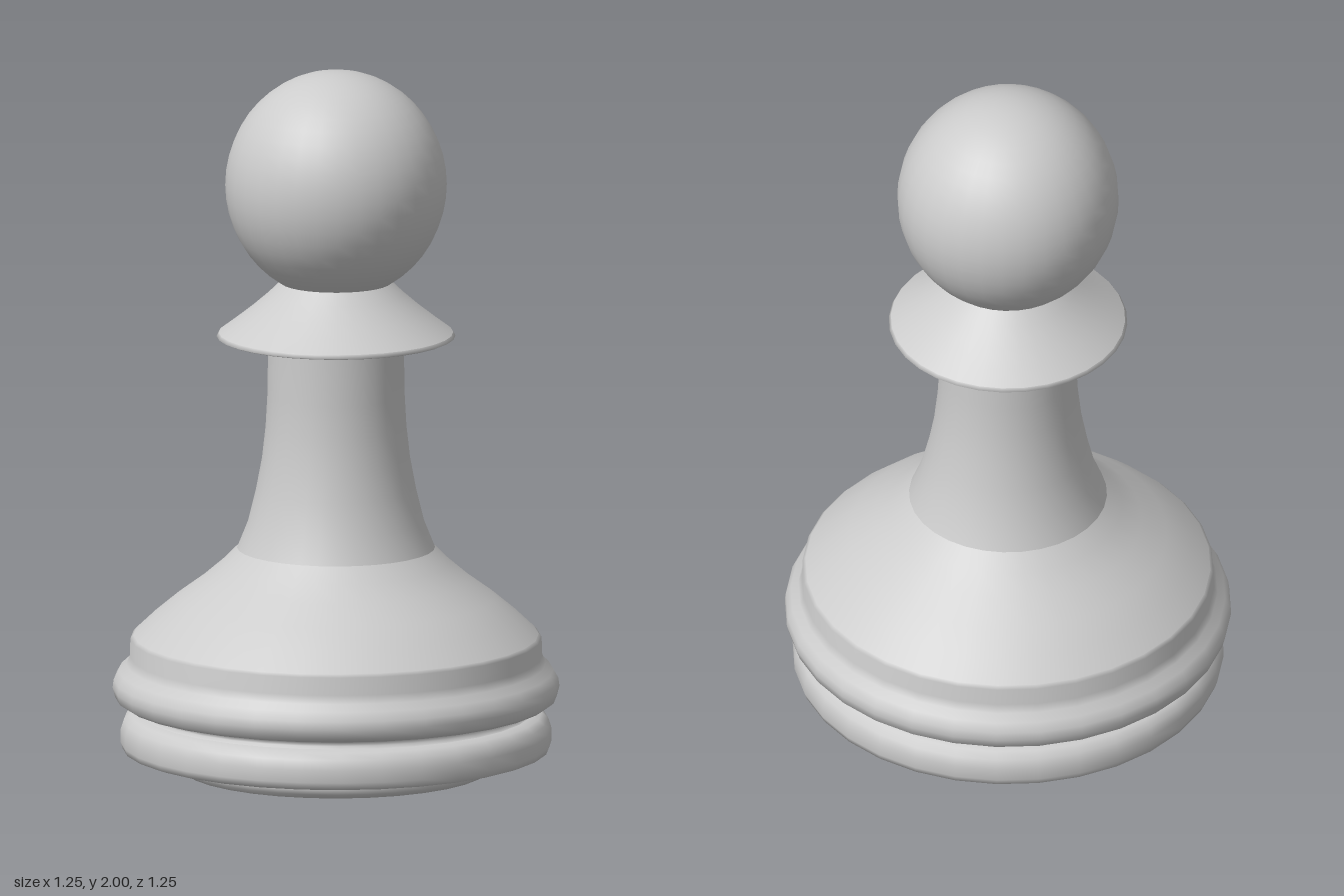
import * as THREE from 'three';

const SIDES = 32;

export function createModel() {
  const model = new THREE.Group();
  const material = new THREE.MeshStandardMaterial({ color: 0xcccccc, side: THREE.DoubleSide });

  // Smooth turned section from [radius, height] pairs, listed bottom to top
  const turned = (name, profile) => {
    const points = profile.map(([r, y]) => new THREE.Vector2(r, y));
    const mesh = new THREE.Mesh(new THREE.LatheGeometry(points, SIDES), material);
    mesh.name = name;
    model.add(mesh);
  };

  // Foot: flat underside, small rounded edge, upright wall
  turned('footUnderside', [[0, 0], [0.385, 0.005]]);
  turned('foot', [[0.385, 0.005], [0.43, 0.012], [0.447, 0.025], [0.45, 0.04], [0.45, 0.068]]);

  // Lower base ring
  turned('lowerRingUnderside', [[0.45, 0.066], [0.58, 0.066]]);
  turned('lowerRing', [
    [0.58, 0.066], [0.597, 0.072], [0.603, 0.09], [0.603, 0.125],
    [0.594, 0.153], [0.575, 0.17], [0.55, 0.176],
  ]);

  // Groove between the two rings
  turned('groove', [[0.55, 0.176], [0.54, 0.183], [0.542, 0.195], [0.56, 0.204]]);

  // Upper base ring sweeping into the shoulder band
  turned('upperRing', [
    [0.56, 0.204], [0.6, 0.206], [0.618, 0.218], [0.625, 0.245], [0.622, 0.268],
    [0.608, 0.293], [0.587, 0.312], [0.577, 0.335], [0.575, 0.385], [0.567, 0.394],
  ]);

  // Flared skirt and slender stem
  turned('skirt', [
    [0.567, 0.394], [0.51, 0.448], [0.445, 0.502], [0.375, 0.553], [0.32, 0.6], [0.277, 0.643],
  ]);
  turned('stem', [
    [0.277, 0.643], [0.246, 0.72], [0.224, 0.81], [0.207, 0.9],
    [0.197, 0.99], [0.192, 1.08], [0.19, 1.215],
  ]);

  // Collar: nearly flat underside, thin rim and sloping top
  turned('collarUnderside', [[0.19, 1.215], [0.2, 1.228], [0.24, 1.237], [0.325, 1.242]]);
  turned('collarRim', [[0.325, 1.242], [0.334, 1.246], [0.328, 1.256]]);
  turned('collarTop', [[0.328, 1.256], [0.285, 1.288], [0.235, 1.327], [0.19, 1.366], [0.155, 1.4]]);
  turned('neck', [[0.155, 1.4], [0.148, 1.41], [0.16, 1.42]]);

  // Slightly elongated ball head
  const head = new THREE.Mesh(new THREE.SphereGeometry(0.31, SIDES, 24), material);
  head.name = 'head';
  head.scale.y = 0.322 / 0.31;
  head.position.y = 1.678;
  model.add(head);

  return model;
}
